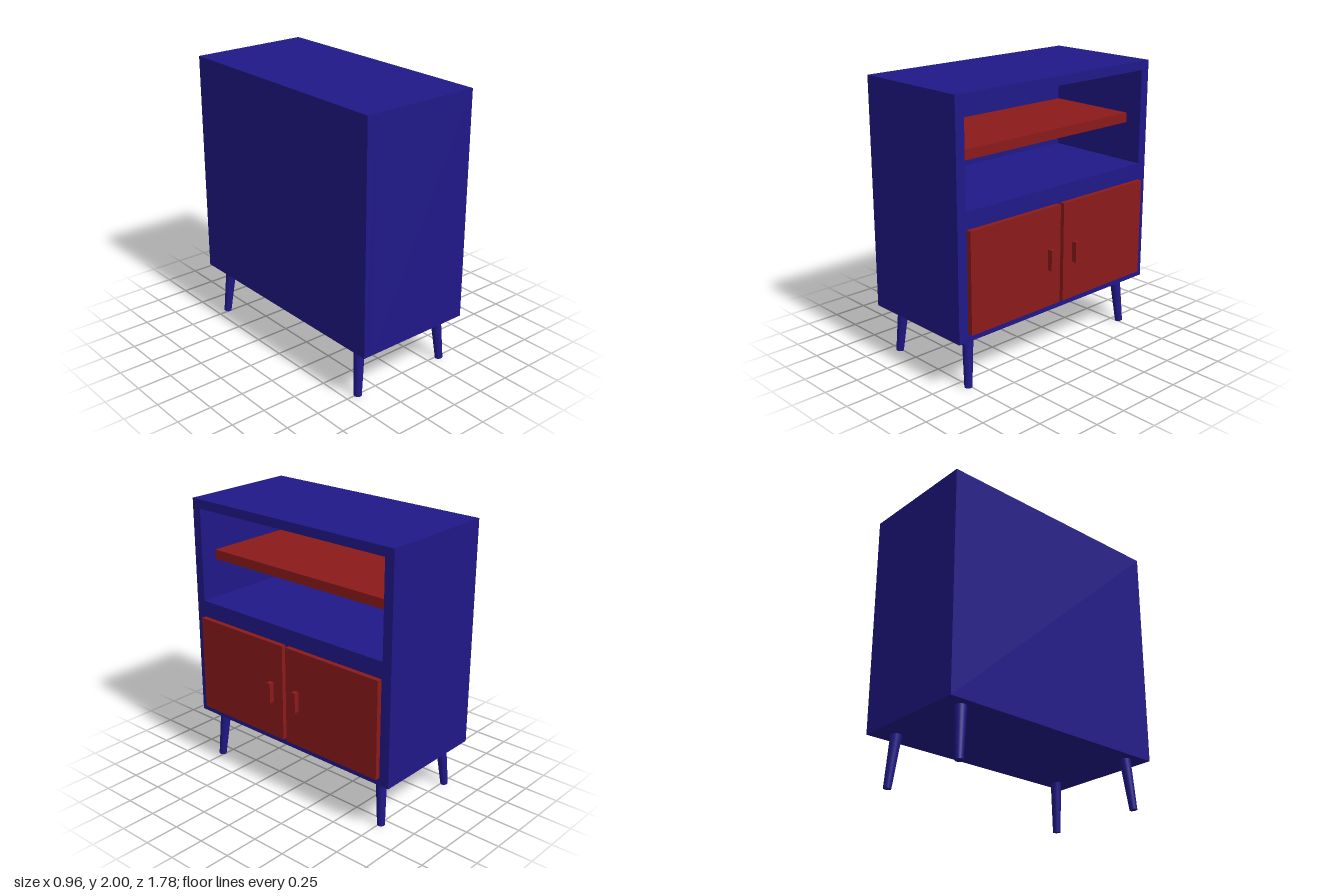
import * as THREE from 'three';

const blue = new THREE.MeshStandardMaterial({ color: 0x201888 });
const red = new THREE.MeshStandardMaterial({ color: 0x8b1a1a });

export function createModel() {
  const group = new THREE.Group();

  const add = (name, geometry, material) => {
    const mesh = new THREE.Mesh(geometry, material);
    mesh.name = name;
    group.add(mesh);
    return mesh;
  };

  // Box given by its lower and upper limits on each axis
  const box = (name, material, [x0, x1], [y0, y1], [z0, z1]) =>
    add(name, new THREE.BoxGeometry(x1 - x0, y1 - y0, z1 - z0), material)
      .position.set((x0 + x1) / 2, (y0 + y1) / 2, (z0 + z1) / 2);

  const rect = (target, w, y0, y1) => {
    target.moveTo(-w, y0).lineTo(w, y0).lineTo(w, y1).lineTo(-w, y1).closePath();
    return target;
  };

  // Cabinet body with the open shelf compartment, facing +x
  const backX = -0.41, frontX = 0.405;
  const outline = rect(new THREE.Shape(), 0.89, 0.37, 2);
  outline.holes.push(rect(new THREE.Path(), 0.82, 1.255, 1.935));
  const body = new THREE.ExtrudeGeometry(outline, { depth: frontX - backX, bevelEnabled: false });
  body.rotateY(Math.PI / 2).translate(backX, 0, 0);
  add('cabinetBody', body, blue);
  box('backPanel', blue, [-0.48, backX], [0.37, 2], [-0.89, 0.89]);

  // Shelf, set back from the opening
  box('shelf', red, [backX, 0.28], [1.54, 1.61], [-0.82, 0.82]);

  // Pair of doors with bar handles
  for (const [side, s] of [['Near', 1], ['Far', -1]]) {
    const span = (a, b) => (s > 0 ? [a, b] : [-b, -a]);
    box('door' + side, red, [frontX, 0.442], [0.427, 1.135], span(0.015, 0.815));
    box('handle' + side, red, [0.442, 0.479], [0.695, 0.843], span(0.102, 0.134));
  }

  // Tapered, splayed legs: foot and top centres in x and z
  const legs = [
    ['legFrontNear', 0.341, 0.768, 0.311, 0.742],
    ['legFrontFar', 0.314, -0.767, 0.284, -0.738],
    ['legBackNear', -0.418, 0.762, -0.387, 0.736],
    ['legBackFar', -0.418, -0.767, -0.387, -0.738],
  ];
  const up = new THREE.Vector3(0, 1, 0);
  for (const [name, fx, fz, tx, tz] of legs) {
    const foot = new THREE.Vector3(fx, 0.005, fz);
    const axis = new THREE.Vector3(tx, 0.375, tz).sub(foot);
    const leg = add(name, new THREE.CylinderGeometry(0.039, 0.027, axis.length(), 32), blue);
    leg.position.copy(foot).addScaledVector(axis, 0.5);
    leg.quaternion.setFromUnitVectors(up, axis.normalize());
  }

  return group;
}
